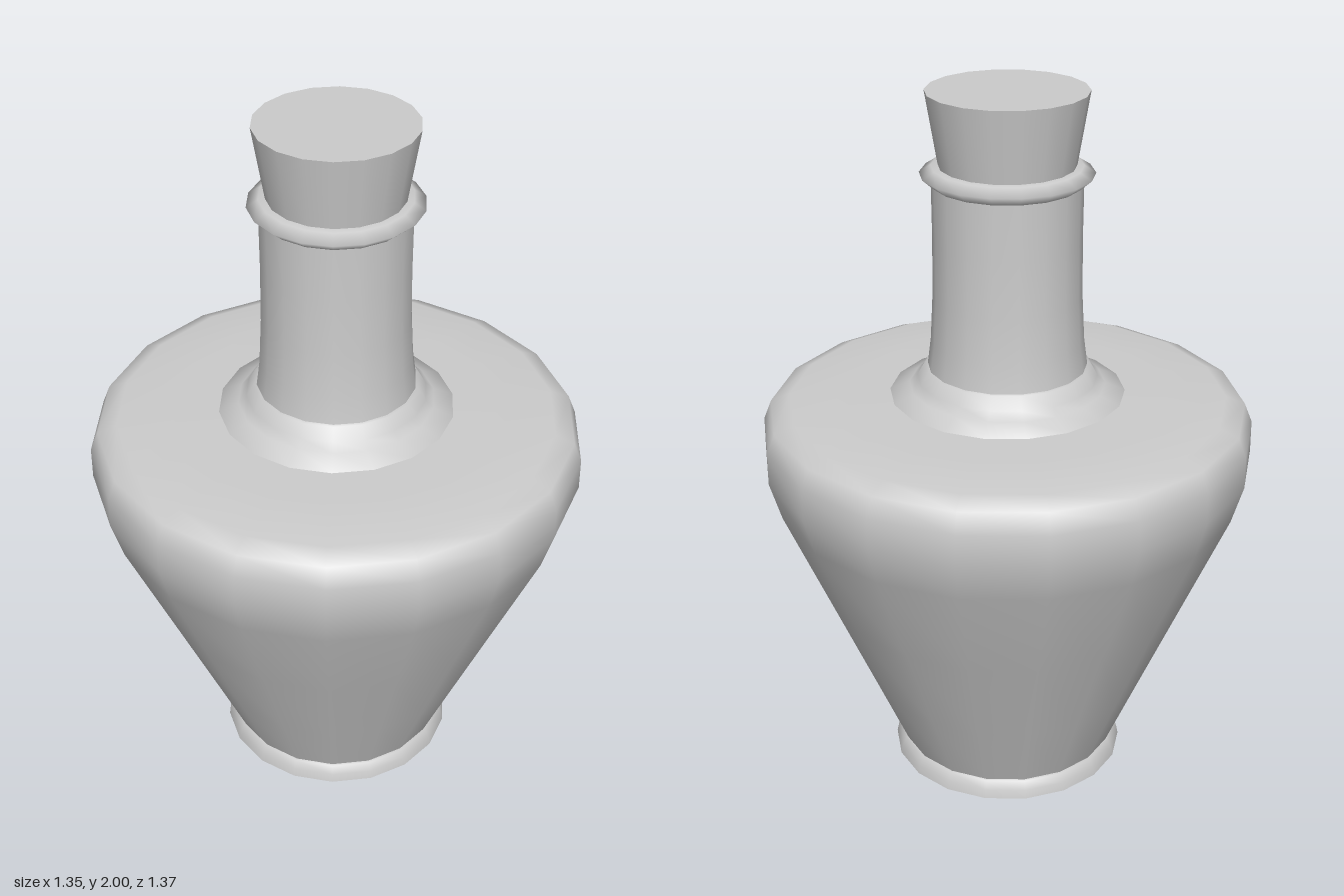
import * as THREE from 'three';

const SIDES = 18;
const material = new THREE.MeshStandardMaterial({ color: 0xcccccc });

// Turned part: profile of [radius, height] pairs, listed from bottom to top
function turned(name, profile) {
  const points = profile.map(([r, y]) => new THREE.Vector2(r, y));
  const mesh = new THREE.Mesh(new THREE.LatheGeometry(points, SIDES), material);
  mesh.name = name;
  return mesh;
}

export function createModel() {
  const bottle = new THREE.Group();
  bottle.name = 'bottle';

  // Flat underside, closing the foot
  const underside = new THREE.Mesh(new THREE.CircleGeometry(0.339, SIDES, Math.PI / 2), material);
  underside.name = 'underside';
  underside.rotation.x = Math.PI / 2;

  bottle.add(
    underside,
    // Foot ring with a narrow ledge where the body starts
    turned('foot', [[0.339, 0], [0.334, 0.025], [0.322, 0.05], [0.312, 0.052]]),
    // Tapered body with rounded shoulder and flat top
    turned('body', [
      [0.315, 0.05], [0.407, 0.27], [0.53, 0.563], [0.655, 0.86], [0.687, 0.97],
      [0.686, 1.06], [0.664, 1.115], [0.61, 1.137], [0.45, 1.142], [0.3, 1.145],
    ]),
    // Flared collar at the root of the neck
    turned('collar', [
      [0.3, 1.143], [0.327, 1.155], [0.272, 1.178], [0.25, 1.2], [0.23, 1.235], [0.21, 1.236],
    ]),
    turned('neck', [
      [0.221, 1.233], [0.211, 1.31], [0.204, 1.44], [0.202, 1.6], [0.203, 1.76],
    ]),
    // Pointed ring around the mouth
    turned('lip', [[0.203, 1.753], [0.234, 1.78], [0.203, 1.8], [0.175, 1.802]]),
    // Stopper, widening to a flat top
    turned('stopper', [[0.183, 1.795], [0.217, 2]]),
  );

  // Flat end of the stopper
  const stopperTop = new THREE.Mesh(new THREE.CircleGeometry(0.217, SIDES, Math.PI / 2), material);
  stopperTop.name = 'stopperTop';
  stopperTop.rotation.x = -Math.PI / 2;
  stopperTop.position.y = 2;
  bottle.add(stopperTop);

  return bottle;
}
